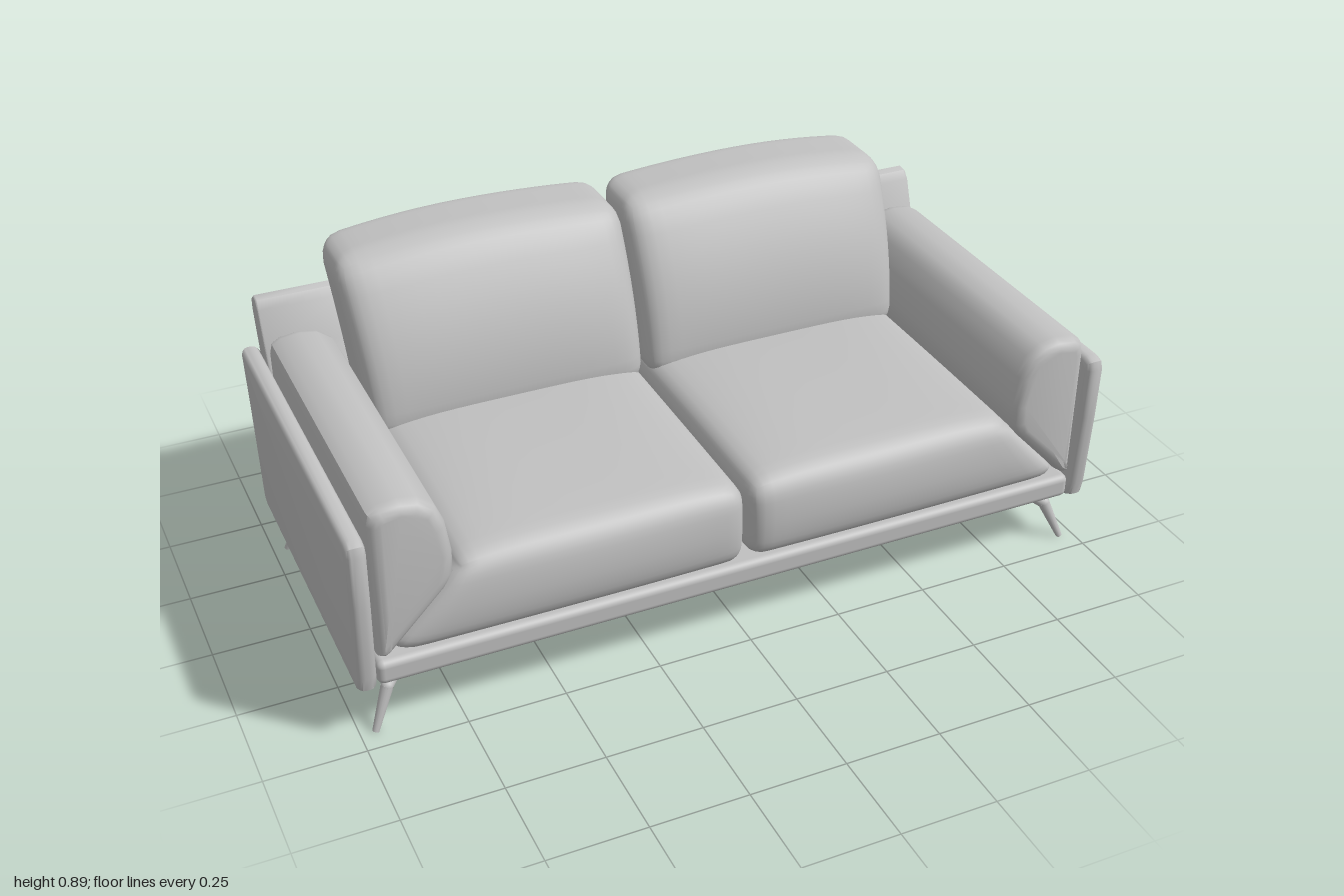
import * as THREE from 'three';
import { mergeVertices, toCreasedNormals } from 'three/addons/utils/BufferGeometryUtils.js';
import { RoundedBoxGeometry } from 'three/addons/geometries/RoundedBoxGeometry.js';

const grey = new THREE.MeshStandardMaterial({ color: 0xc0c0c0 });
grey.name = 'grey upholstery';

function add(parent, name, geometry) {
  const mesh = new THREE.Mesh(geometry, grey);
  mesh.name = name;
  parent.add(mesh);
  return mesh;
}

// Soft box: a dense rounded box whose vertices are then moved by rule(p, u, v, w), u v w in -1..1
function softBox(w, h, d, r, rule) {
  const geo = new THREE.BoxGeometry(2, 2, 2, 22, 18, 22);
  geo.deleteAttribute('uv');
  geo.deleteAttribute('normal');
  const pos = geo.attributes.position;
  const half = new THREE.Vector3(w / 2, h / 2, d / 2);
  const inner = half.clone().subScalar(r);
  const p = new THREE.Vector3(), core = new THREE.Vector3();
  const ease = (t) => Math.sin((t * Math.PI) / 2);
  for (let i = 0; i < pos.count; i++) {
    p.fromBufferAttribute(pos, i);
    p.set(ease(p.x), ease(p.y), ease(p.z)).multiply(half);
    core.copy(p).clamp(inner.clone().negate(), inner);
    p.sub(core);
    if (p.lengthSq() > 0) p.setLength(r);
    p.add(core);
    rule(p, p.x / half.x, p.y / half.y, p.z / half.z);
    pos.setXYZ(i, p.x, p.y, p.z);
  }
  const out = mergeVertices(geo, 1e-5);
  out.computeVertexNormals();
  return out;
}

// Extrude a closed profile between two depths, with rounded rims kept inside the profile
function slab(points, from, to, bevel, thickness = bevel, smooth = false) {
  const vecs = points.map(([x, y]) => new THREE.Vector2(x, y));
  const shape = new THREE.Shape();
  shape.moveTo(vecs[0].x, vecs[0].y);
  if (smooth) shape.splineThru([...vecs.slice(1), vecs[0]]);
  else vecs.slice(1).forEach((v) => shape.lineTo(v.x, v.y));
  const geo = new THREE.ExtrudeGeometry(shape, {
    depth: to - from - 2 * thickness, curveSegments: 40,
    bevelSize: bevel, bevelOffset: -bevel, bevelThickness: thickness, bevelSegments: 4,
  });
  geo.translate(0, 0, from + thickness);
  return toCreasedNormals(geo, 0.75);
}

// Same, with a (z, y) profile extruded along x
function sideSlab(points, x0, x1, bevel, thickness, smooth) {
  return slab(points, -x1, -x0, bevel, thickness, smooth).rotateY(-Math.PI / 2);
}

// Tapered round bar between two points, trimmed at the floor
function bar(a, b, ra, rb) {
  const dir = b.clone().sub(a);
  const geo = new THREE.CylinderGeometry(rb, ra, dir.length(), 14);
  geo.applyQuaternion(new THREE.Quaternion().setFromUnitVectors(
    new THREE.Vector3(0, 1, 0), dir.clone().normalize()));
  geo.translate((a.x + b.x) / 2, (a.y + b.y) / 2, (a.z + b.z) / 2);
  const pos = geo.attributes.position;
  for (let i = 0; i < pos.count; i++) pos.setY(i, Math.max(0, pos.getY(i)));
  return geo;
}

const clamp = THREE.MathUtils.clamp;

function seatCushion(s) {
  return softBox(0.745, 0.225, 0.83, 0.05, (p, u, v, w) => {
    const out = u * s;
    const y = p.y + 0.3325;
    // the lower outer edge spreads out beneath the arm
    const spread = 0.17 * (1 - clamp((y - 0.24) / 0.18, 0, 1)) * ((out + 1) / 2) ** 3;
    p.x += s * (0.3775 + spread);
    p.z += 0.06 + (w > 0 ? 0.025 * w * (1 - v * v) * (1 - 0.5 * u * u) : 0);
    p.y = y + (v > 0 ? 0.032 * v * (1 - u ** 4) * (1 - 0.5 * w * w) : 0);
  });
}

function backCushion(s) {
  return softBox(0.745, 0.455, 0.21, 0.055, (p, u, v, w) => {
    const t = p.y + 0.2275 - 0.03;
    const out = u * s;
    const rise = (v + 1) / 2;
    p.x += s * (0.3775 + 0.025 * rise * (out + 1) / 2);
    p.z += -0.23 - 0.128 * t - 0.594 * t * t;
    if (w > 0) p.z += 0.022 * w * (1 - u ** 4) * (1 - v * v);
    p.y = 0.44 + t + 0.022 * rise * (1 - u * u) - 0.012 * rise * Math.max(out, 0) ** 2;
  });
}

export function createModel() {
  const sofa = new THREE.Group();
  sofa.name = 'sofa';

  // Base rail
  const base = add(sofa, 'baseRail', new RoundedBoxGeometry(1.9, 0.066, 0.86, 4, 0.018));
  base.position.set(0, 0.183, 0.04);

  // Side profiles of the two padded rows of the back frame, as (z, y)
  const lowerRow = [[-0.28, 0.205], [-0.38, 0.205], [-0.405, 0.225], [-0.424, 0.3],
    [-0.436, 0.37], [-0.441, 0.425], [-0.43, 0.452], [-0.33, 0.452]];
  const upperRow = [[-0.34, 0.45], [-0.425, 0.45], [-0.445, 0.468], [-0.466, 0.56],
    [-0.484, 0.62], [-0.498, 0.67], [-0.495, 0.7], [-0.475, 0.716], [-0.45, 0.713],
    [-0.432, 0.692], [-0.395, 0.59]];
  const seams = [-0.95, -0.72, -0.24, 0.24, 0.72, 0.95];
  for (let i = 0; i < seams.length - 1; i++) {
    add(sofa, 'backPanelLower' + (i + 1), sideSlab(lowerRow, seams[i], seams[i + 1], 0.006));
    add(sofa, 'backPanelUpper' + (i + 1), sideSlab(upperRow, seams[i], seams[i + 1], 0.006));
  }

  const panelProfile = [[0.45, 0.14], [0.47, 0.152], [0.478, 0.19], [0.49, 0.4], [0.494, 0.545],
    [0.486, 0.568], [0.46, 0.576], [-0.466, 0.576], [-0.466, 0.565], [-0.44, 0.42],
    [-0.405, 0.175], [-0.396, 0.152], [-0.375, 0.14]];
  const armProfile = [[0.945, 0.235], [0.945, 0.6], [0.938, 0.628], [0.915, 0.642], [0.865, 0.648],
    [0.82, 0.64], [0.782, 0.612], [0.76, 0.56], [0.748, 0.48], [0.75, 0.42], [0.77, 0.385],
    [0.91, 0.24], [0.925, 0.23]];

  for (const s of [1, -1]) {
    const side = s > 0 ? 'left' : 'right';

    // Thin outer panel and padded arm
    const [x0, x1] = s > 0 ? [0.952, 1] : [-1, -0.952];
    add(sofa, side + 'SidePanel', sideSlab(panelProfile, x0, x1, 0.018, 0.018));
    add(sofa, side + 'Arm', slab(armProfile.map(([x, y]) => [x * s, y]), -0.392, 0.482, 0.03, 0.035));

    // Cushions
    add(sofa, side + 'SeatCushion', seatCushion(s));
    add(sofa, side + 'BackCushion', backCushion(s));

    // Bent splayed legs
    for (const f of [1, -1]) {
      const leg = new THREE.Group();
      leg.name = side + (f > 0 ? 'FrontLeg' : 'BackLeg');
      const at = (x, y, z) => new THREE.Vector3(x * s, y, 0.038 + z * f);
      const foot = at(0.962, 0, 0.403), knee = at(0.918, 0.106, 0.378), top = at(0.84, 0.158, 0.305);
      add(leg, 'legShank', bar(foot, knee, 0.009, 0.016));
      add(leg, 'legKnee', new THREE.SphereGeometry(0.016, 14, 10)).position.copy(knee);
      add(leg, 'legBracket', bar(knee, top, 0.016, 0.019));
      sofa.add(leg);
    }
  }
  return sofa;
}
